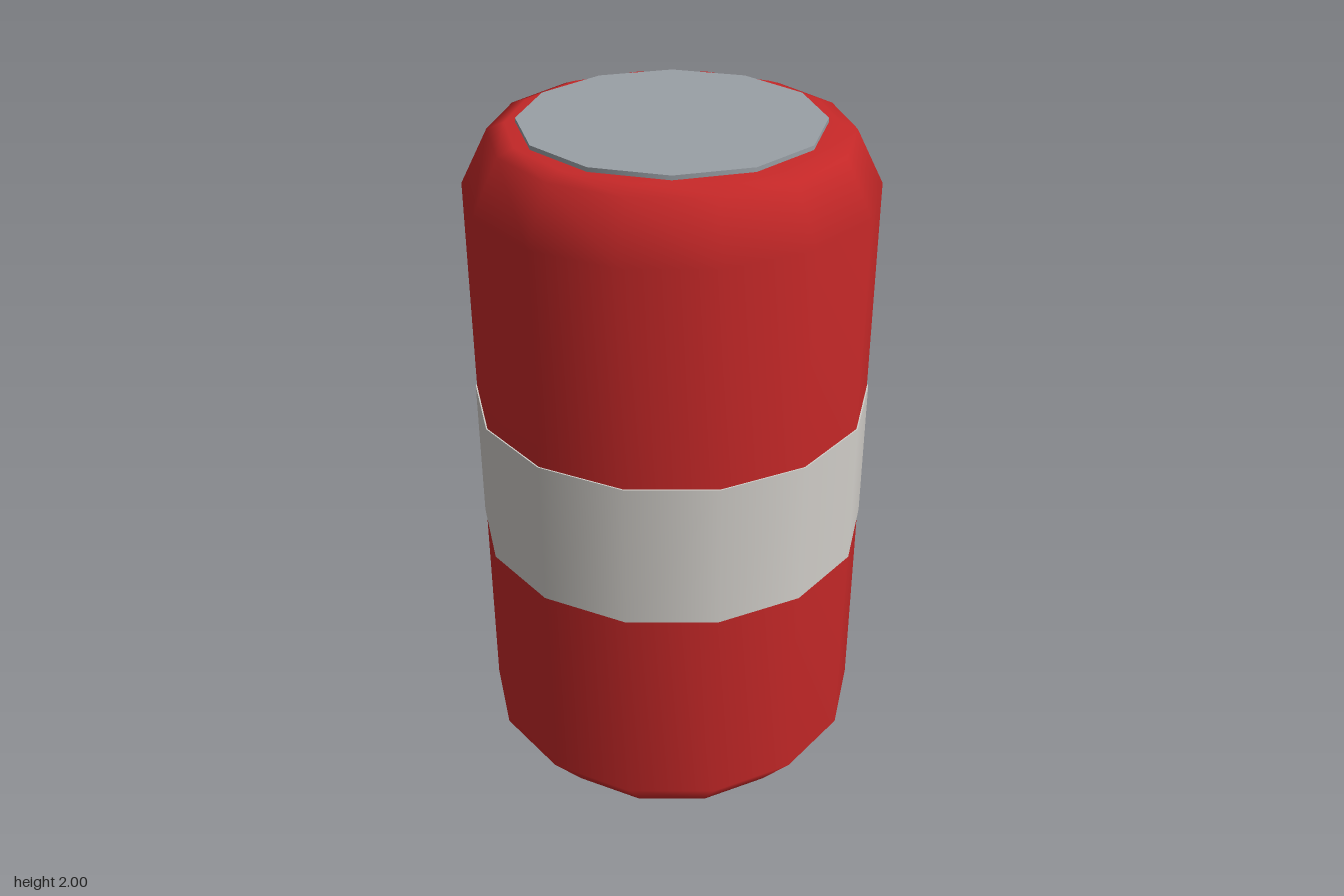
import * as THREE from 'three';

const SIDES = 14;

export function createModel() {
  const group = new THREE.Group();
  const paint = (name, color) => {
    const m = new THREE.MeshStandardMaterial({ color });
    m.name = name;
    return m;
  };
  const red = paint('red', 0xc62828);
  const offWhite = paint('offWhite', 0xd0cdc8);
  const grey = paint('grey', 0x9aa0a6);

  const add = (name, geometry, material, y = 0) => {
    const mesh = new THREE.Mesh(geometry, material);
    mesh.name = name;
    mesh.position.y = y;
    group.add(mesh);
    return mesh;
  };

  // Can body: tapered foot, straight wall, rounded shoulder
  const profile = [
    [0.45, 0], [0.563, 0.14], [0.563, 1.82], [0.487, 1.97], [0.44, 1.988], [0.36, 1.988],
  ].map(([r, y]) => new THREE.Vector2(r, y));
  add('body', new THREE.LatheGeometry(profile, SIDES, Math.PI / 2), red);

  // Flat underside
  const base = new THREE.CircleGeometry(0.45, SIDES);
  base.rotateX(Math.PI / 2);
  add('base', base, red);

  // Label band, slightly proud of the wall
  const band = new THREE.CylinderGeometry(0.567, 0.567, 0.43, SIDES, 1, false, Math.PI / 2);
  add('labelBand', band, offWhite, 0.985);

  // Thin lid
  add('lid', new THREE.CylinderGeometry(0.41, 0.41, 0.02, 12), grey, 1.99);

  return group;
}
